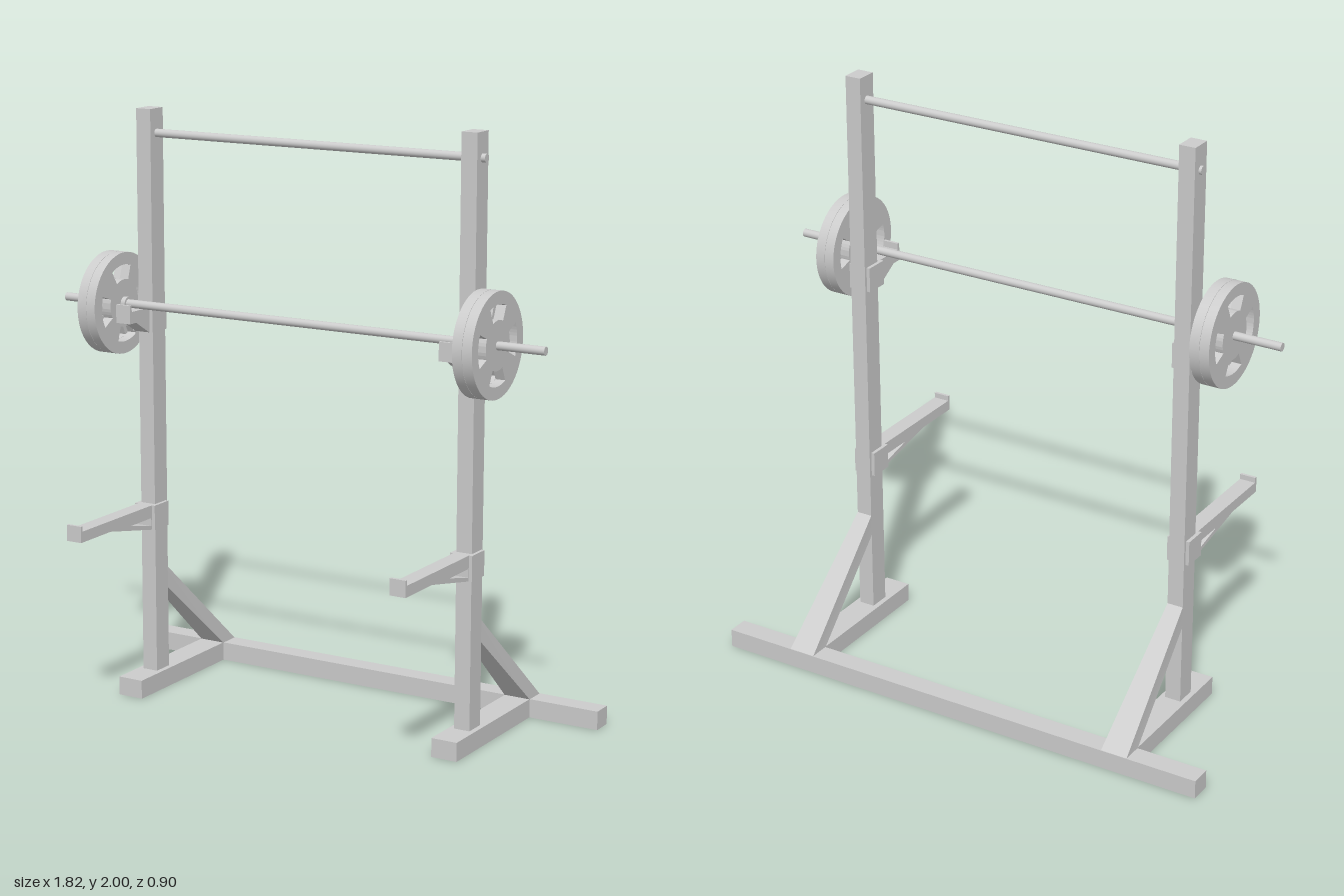
import * as THREE from 'three';
import { toCreasedNormals } from 'three/addons/utils/BufferGeometryUtils.js';

const material = new THREE.MeshStandardMaterial({ color: 0xcccccc });
const frameX = -0.004;   // middle of the frame
const postOffset = 0.609;
const barX = 0.008;      // middle of the loaded bar
const barY = 1.354;
const barZ = 0.076;

export function createModel() {
  const model = new THREE.Group();
  model.name = 'squatRack';

  const add = (name, geometry, x = 0, y = 0, z = 0) => {
    const mesh = new THREE.Mesh(geometry, material);
    mesh.name = name;
    mesh.position.set(x, y, z);
    model.add(mesh);
    return mesh;
  };

  // Box given by its ranges in y and z
  const block = (name, x, width, y0, y1, z0, z1) =>
    add(name, new THREE.BoxGeometry(width, y1 - y0, z1 - z0), x, (y0 + y1) / 2, (z0 + z1) / 2);

  // Round bar along x
  const rod = (name, radius, length, x, y, z) =>
    add(name, new THREE.CylinderGeometry(radius, radius, length, 20).rotateZ(Math.PI / 2), x, y, z);

  // Side profile with [z, y] points, extruded across x
  const profile = (points, width, hole) => {
    const toVectors = (list) => list.map(([z, y]) => new THREE.Vector2(z, y));
    const shape = new THREE.Shape(toVectors(points));
    if (hole) shape.holes.push(new THREE.Path(toVectors(hole)));
    return new THREE.ExtrudeGeometry(shape, { depth: width, bevelEnabled: false })
      .translate(0, 0, -width / 2)
      .rotateY(-Math.PI / 2);
  };

  // Diagonal brace, wider at the foot than at the post
  const braceGeometry = () => {
    const geometry = new THREE.BoxGeometry(1, 1, 1);
    const p = geometry.attributes.position;
    for (let i = 0; i < p.count; i++) {
      const top = p.getY(i) > 0;
      const inner = p.getZ(i) > 0;
      const x = p.getX(i) * (top ? 0.056 : 0.094);
      if (top) p.setXYZ(i, x, inner ? 0.345 : 0.42, -0.054);
      else p.setXYZ(i, x, 0.062, inner ? -0.375 : -0.448);
    }
    geometry.computeVertexNormals();
    return geometry;
  };

  // Disc with four curved windows
  const plateGeometry = (turn) => {
    const shape = new THREE.Shape();
    shape.absarc(0, 0, 0.171, 0, Math.PI * 2, false);
    const half = 0.42;
    for (let i = 0; i < 4; i++) {
      const a = turn + (i * Math.PI) / 2;
      const hole = new THREE.Path();
      hole.absarc(0, 0, 0.13, a - half, a + half, false);
      hole.absarc(0, 0, 0.08, a + half, a - half, true);
      hole.closePath();
      shape.holes.push(hole);
    }
    const geometry = new THREE.ExtrudeGeometry(shape, { depth: 0.034, bevelEnabled: false, curveSegments: 32 })
      .translate(0, 0, -0.017)
      .rotateY(Math.PI / 2);
    return toCreasedNormals(geometry, 0.5);
  };

  // Base beam and pull-up bar
  add('rearBeam', new THREE.BoxGeometry(1.81, 0.064, 0.073), frameX, 0.032, -0.4115);
  rod('pullUpBar', 0.014, 1.298, frameX + 0.003, 1.918, -0.018);

  for (const side of [-1, 1]) {
    const label = side > 0 ? 'left' : 'right';
    const x = frameX + side * postOffset;

    // Upright frame
    block(label + 'Foot', x, 0.092, 0, 0.064, -0.375, 0.138);
    block(label + 'Post', x, 0.056, 0.06, 2, -0.055, 0.0185);
    add(label + 'Brace', braceGeometry(), x);

    // Long safety arm with a pierced gusset and an end lip
    block(label + 'SafetySleeve', x, 0.08, 0.572, 0.657, -0.045, 0.038);
    add(label + 'SafetyArm', profile(
      [[0.03, 0.572], [0.04, 0.572], [0.28, 0.62], [0.448, 0.62], [0.448, 0.675],
        [0.438, 0.675], [0.438, 0.657], [0.03, 0.657]],
      0.056,
      [[0.042, 0.585], [0.042, 0.613], [0.165, 0.613]]), x);

    // Short hook holding the bar
    block(label + 'HookSleeve', x, 0.08, 1.255, 1.34, -0.045, 0.038);
    add(label + 'Hook', profile(
      [[0.03, 1.255], [0.04, 1.255], [0.115, 1.3], [0.15, 1.3], [0.15, 1.362],
        [0.14, 1.362], [0.14, 1.34], [0.03, 1.34]],
      0.056), x);

    // Weight plates and inner collar
    add(label + 'InnerPlate', plateGeometry(0.12), barX + side * 0.684, barY, barZ);
    add(label + 'OuterPlate', plateGeometry(0), barX + side * 0.719, barY, barZ);
    rod(label + 'Collar', 0.022, 0.016, barX + side * 0.659, barY, barZ);
  }

  // Bar
  rod('barbell', 0.014, 1.804, barX, barY, barZ);

  return model;
}
